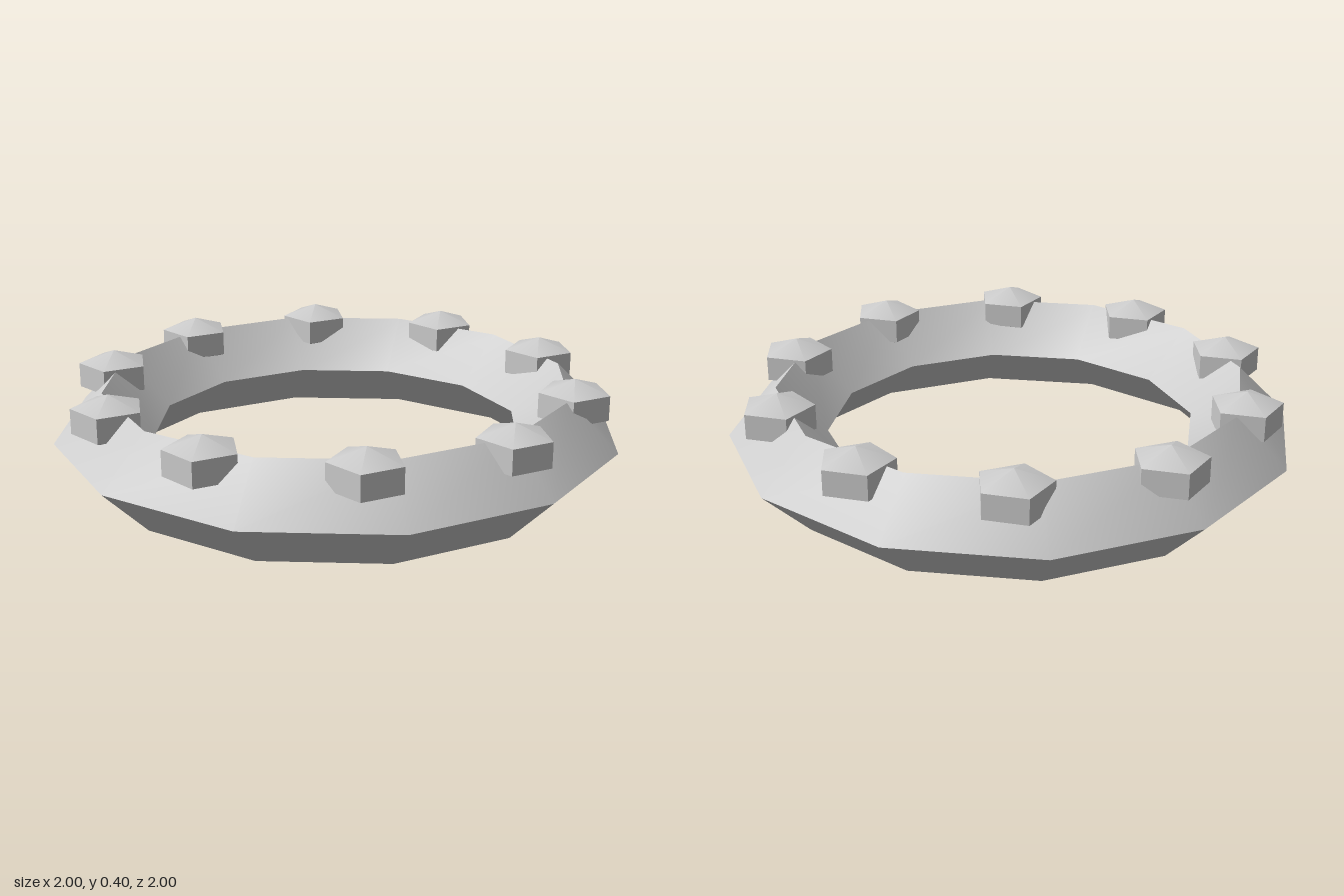
import * as THREE from 'three';
import { toCreasedNormals } from 'three/addons/utils/BufferGeometryUtils.js';

const deg = THREE.MathUtils.degToRad;

export function createModel() {
  const model = new THREE.Group();
  model.name = 'studdedRing';
  const stone = new THREE.MeshStandardMaterial({ color: 0xcccccc });
  stone.name = 'light grey';

  // twelve-sided ring with a diamond cross-section
  const ringGeometry = new THREE.TorusGeometry(0.835, 0.174, 4, 12);
  ringGeometry.rotateX(Math.PI / 2);
  ringGeometry.rotateY(deg(8));
  const ring = new THREE.Mesh(toCreasedNormals(ringGeometry, 0.6), stone);
  ring.name = 'ring';
  ring.position.y = 0.175;
  model.add(ring);

  // pentagonal studs, all facing the same way
  const studGeometry = new THREE.SphereGeometry(0.148, 5, 3);
  studGeometry.scale(1, 0.6, 1);
  studGeometry.rotateY(Math.PI - deg(1.5));
  const studShape = toCreasedNormals(studGeometry, 0.6);
  for (let i = 0; i < 10; i++) {
    const angle = deg(-14 + i * 36);
    const stud = new THREE.Mesh(studShape, stone);
    stud.name = `stud${i + 1}`;
    stud.position.set(0.84 * Math.cos(angle), 0.312, 0.84 * Math.sin(angle));
    model.add(stud);
  }
  return model;
}
